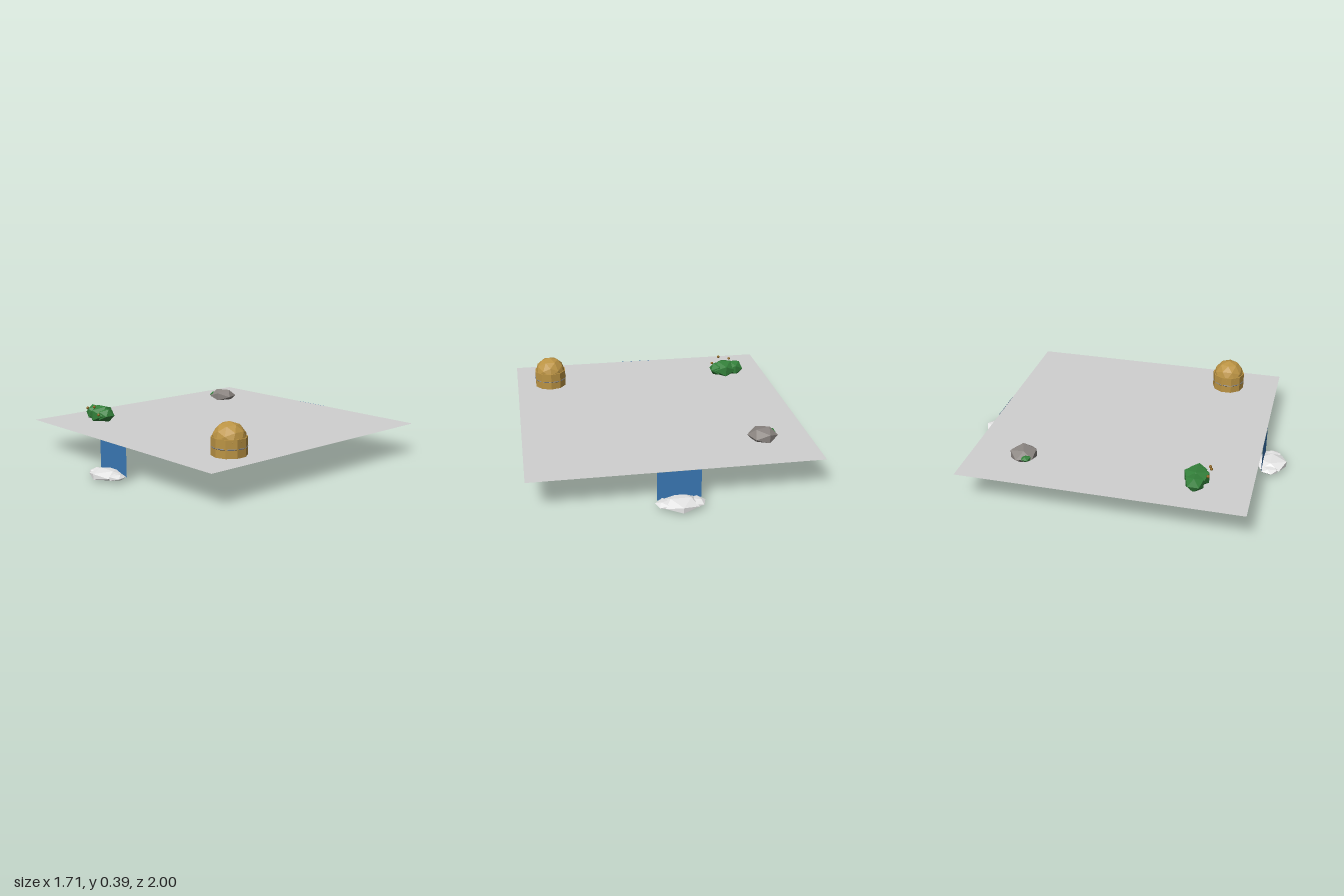
import * as THREE from 'three';

function mat(name, color, side = THREE.FrontSide) {
  const m = new THREE.MeshStandardMaterial({ color, side, flatShading: true });
  m.name = name;
  return m;
}

export function createModel() {
  const model = new THREE.Group();
  const grey = mat('ground grey', 0xd0d0d0, THREE.DoubleSide);
  const blue = mat('water blue', 0x3a78b5, THREE.DoubleSide);
  const white = mat('foam white', 0xf2f2f2);
  const gold = mat('straw gold', 0xbc9444);
  const steel = mat('band grey', 0x78797c);
  const green = mat('leaf green', 0x33803a);
  const brown = mat('berry brown', 0x8c6420);
  const stone = mat('stone grey', 0x8c8682);

  function add(name, geometry, material, x, y, z, parent = model) {
    const mesh = new THREE.Mesh(geometry, material);
    mesh.name = name;
    mesh.position.set(x, y, z);
    parent.add(mesh);
    return mesh;
  }

  // Faceted lump: an icosahedron turned about y and squashed in height
  function lump(name, r, squash, material, x, y, z, parent, turn = 0) {
    const g = new THREE.IcosahedronGeometry(r, 0).rotateY(turn).scale(1, squash, 1);
    return add(name, g, material, x, y, z, parent);
  }

  function group(name) {
    const g = new THREE.Group();
    g.name = name;
    model.add(g);
    return g;
  }

  // Ground sheet
  add('ground', new THREE.PlaneGeometry(1.71, 1.71).rotateX(-Math.PI / 2), grey, 0, 0.2, 0);

  // Waterfalls with foam, front and back
  for (const s of [1, -1]) {
    const fall = group(s > 0 ? 'frontWaterfall' : 'backWaterfall');
    add('waterSheet', new THREE.PlaneGeometry(0.254, 0.175), blue, 0, 0.1125, s * 0.857, fall);
    lump('foam', 0.112, 0.29, white, 0, 0.0277, s * 0.905, fall);
    for (const side of [1, -1])
      lump('sideFoam', 0.06, 0.32, white, side * 0.085, 0.027, s * 0.905, fall, side * 0.3);
  }

  // Domed straw store with a band
  const store = group('strawStore');
  add('wall', new THREE.CylinderGeometry(0.104, 0.104, 0.105, 10), gold, 0.633, 0.2525, 0.525, store);
  add('dome', new THREE.IcosahedronGeometry(0.1, 1), gold, 0.633, 0.29, 0.525, store);
  add('band', new THREE.TorusGeometry(0.101, 0.004, 4, 16).rotateX(Math.PI / 2), steel, 0.633, 0.25, 0.525, store);

  // Bush and its berries
  const bush = group('bush');
  lump('bushMiddle', 0.085, 0.75, green, -0.58, 0.235, 0.53, bush);
  lump('bushLeaves', 0.062, 0.88, green, -0.652, 0.237, 0.53, bush);
  lump('bushLeaves', 0.06, 0.8, green, -0.534, 0.235, 0.53, bush);
  for (const [x, y] of [[-0.632, 0.277], [-0.555, 0.295], [-0.51, 0.25]])
    add('berry', new THREE.IcosahedronGeometry(0.009, 1), brown, x, y, 0.602, bush);

  // Mossy rock
  const rock = group('rock');
  lump('stone', 0.091, 0.55, stone, -0.567, 0.222, -0.525, rock, 0.35);
  lump('moss', 0.035, 0.6, green, -0.622, 0.225, -0.493, rock);

  return model;
}
